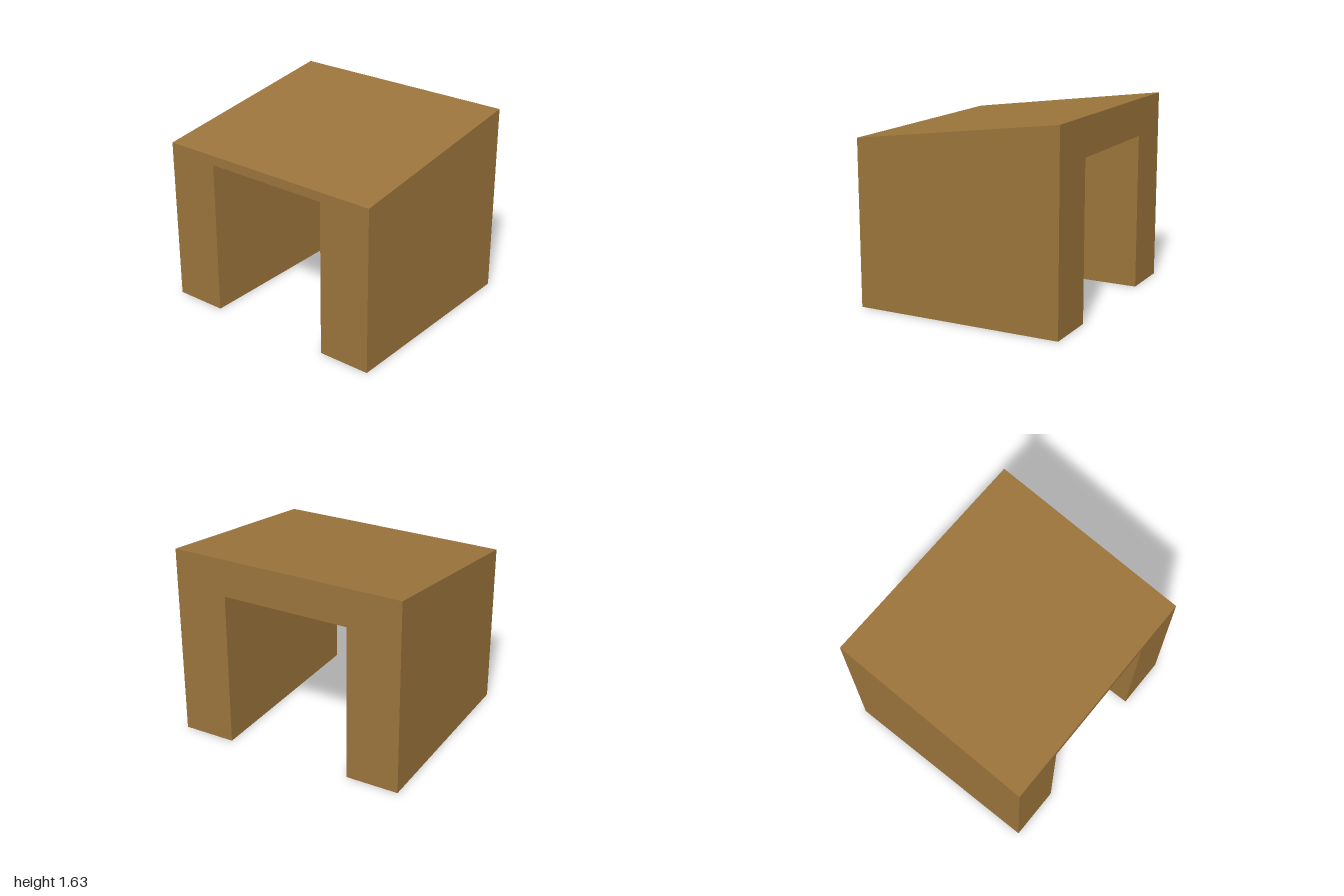
import * as THREE from 'three';

const HALF_WIDTH = 1, HALF_OPENING = 0.547, HALF_DEPTH = 0.885;
const CEILING = 1.32, FRONT_HEIGHT = 1.4, BACK_HEIGHT = 1.635;

export function createModel() {
  const brown = new THREE.MeshStandardMaterial({ color: 0x9a733b });
  brown.name = 'brown';

  // Front outline: two thick walls joined by a lintel
  const outline = new THREE.Shape([
    [-HALF_WIDTH, 0], [-HALF_OPENING, 0], [-HALF_OPENING, CEILING],
    [HALF_OPENING, CEILING], [HALF_OPENING, 0], [HALF_WIDTH, 0],
    [HALF_WIDTH, FRONT_HEIGHT], [-HALF_WIDTH, FRONT_HEIGHT],
  ].map(([x, y]) => new THREE.Vector2(x, y)));

  const geometry = new THREE.ExtrudeGeometry(outline, { depth: 2 * HALF_DEPTH, bevelEnabled: false });
  geometry.translate(0, 0, -HALF_DEPTH);

  // Raise the back top edge so the roof slopes down to the front
  const position = geometry.attributes.position;
  for (let i = 0; i < position.count; i++) {
    if (position.getY(i) > CEILING + 0.01 && position.getZ(i) < 0) position.setY(i, BACK_HEIGHT);
  }
  geometry.computeVertexNormals();

  const archway = new THREE.Mesh(geometry, brown);
  archway.name = 'slopedArchway';

  const model = new THREE.Group();
  model.name = 'archwayBlock';
  model.add(archway);
  return model;
}
